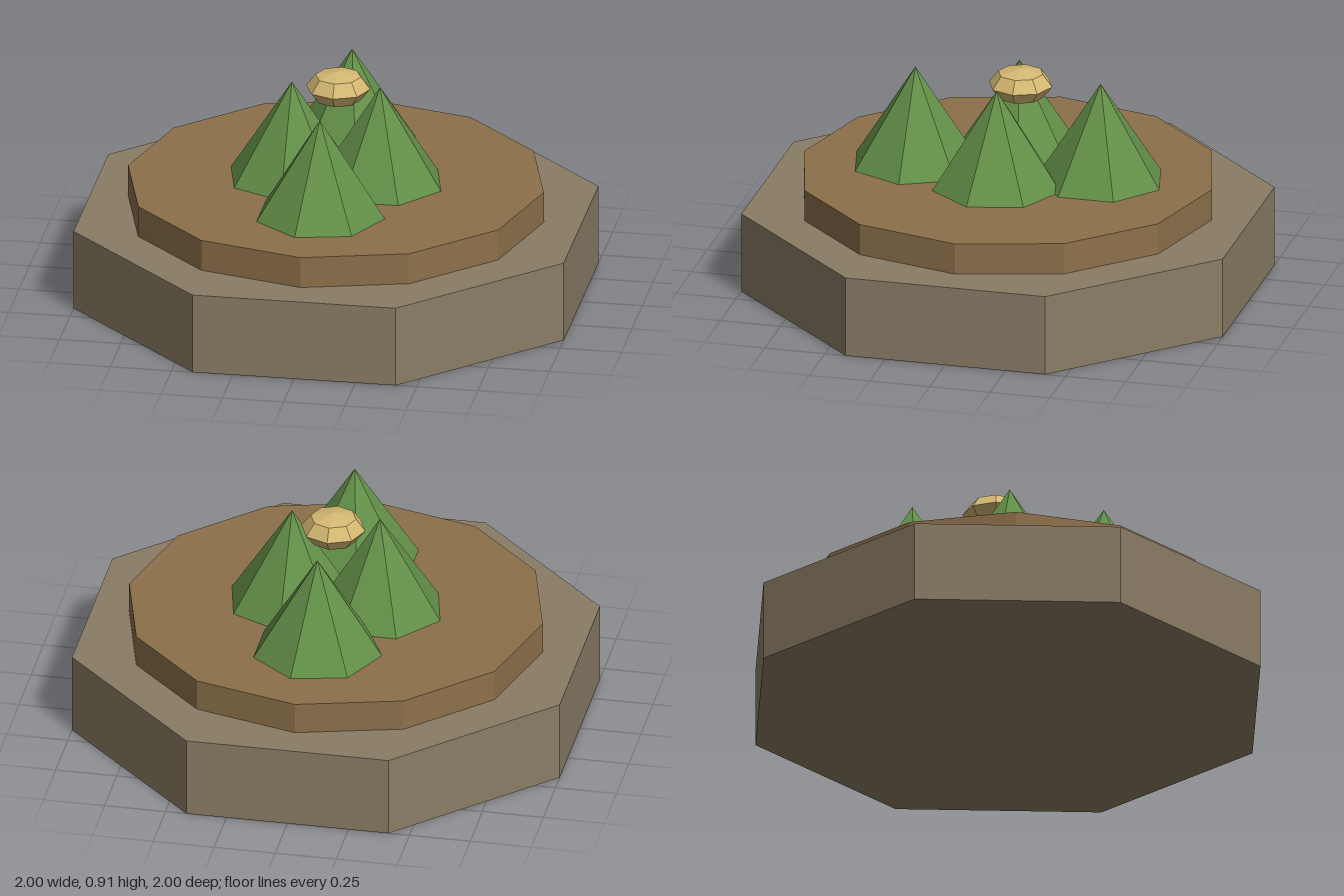
import * as THREE from 'three';

const flat = (color) => new THREE.MeshStandardMaterial({ color, flatShading: true });

export function createModel() {
  const model = new THREE.Group();

  const add = (name, geometry, material, x, y, z, turn = 0) => {
    const mesh = new THREE.Mesh(geometry, material);
    mesh.name = name;
    mesh.position.set(x, y, z);
    mesh.rotation.y = turn;
    model.add(mesh);
    return mesh;
  };

  // Octagonal stone base, flat sides facing the axes
  const baseRadius = 1 / Math.cos(Math.PI / 8);
  add('stoneBase', new THREE.CylinderGeometry(baseRadius, baseRadius, 0.335, 8),
    flat(0x8b7d66), 0, 0.1675, 0, Math.PI / 8);

  // Twelve-sided soil disc
  add('soilDisc', new THREE.CylinderGeometry(0.848, 0.848, 0.13, 12),
    flat(0x8d704b), 0, 0.4, 0);

  // Four seven-sided bushes, each turned with its place around the centre
  const bushGeometry = new THREE.ConeGeometry(0.265, 0.41, 7);
  const bushMaterial = flat(0x639048);
  ['front', 'left', 'back', 'right'].forEach((side, i) => {
    const angle = i * Math.PI / 2;
    add(`${side}Bush`, bushGeometry, bushMaterial,
      0.18 * Math.sin(angle), 0.67, 0.385 * Math.cos(angle), angle + Math.PI / 2);
  });

  // Flattened faceted golden bud between the bush tops
  const bud = add('goldenBud', new THREE.SphereGeometry(0.131, 8, 4),
    flat(0xd4b872), 0, 0.842, -0.053);
  bud.scale.y = 0.54;

  return model;
}
